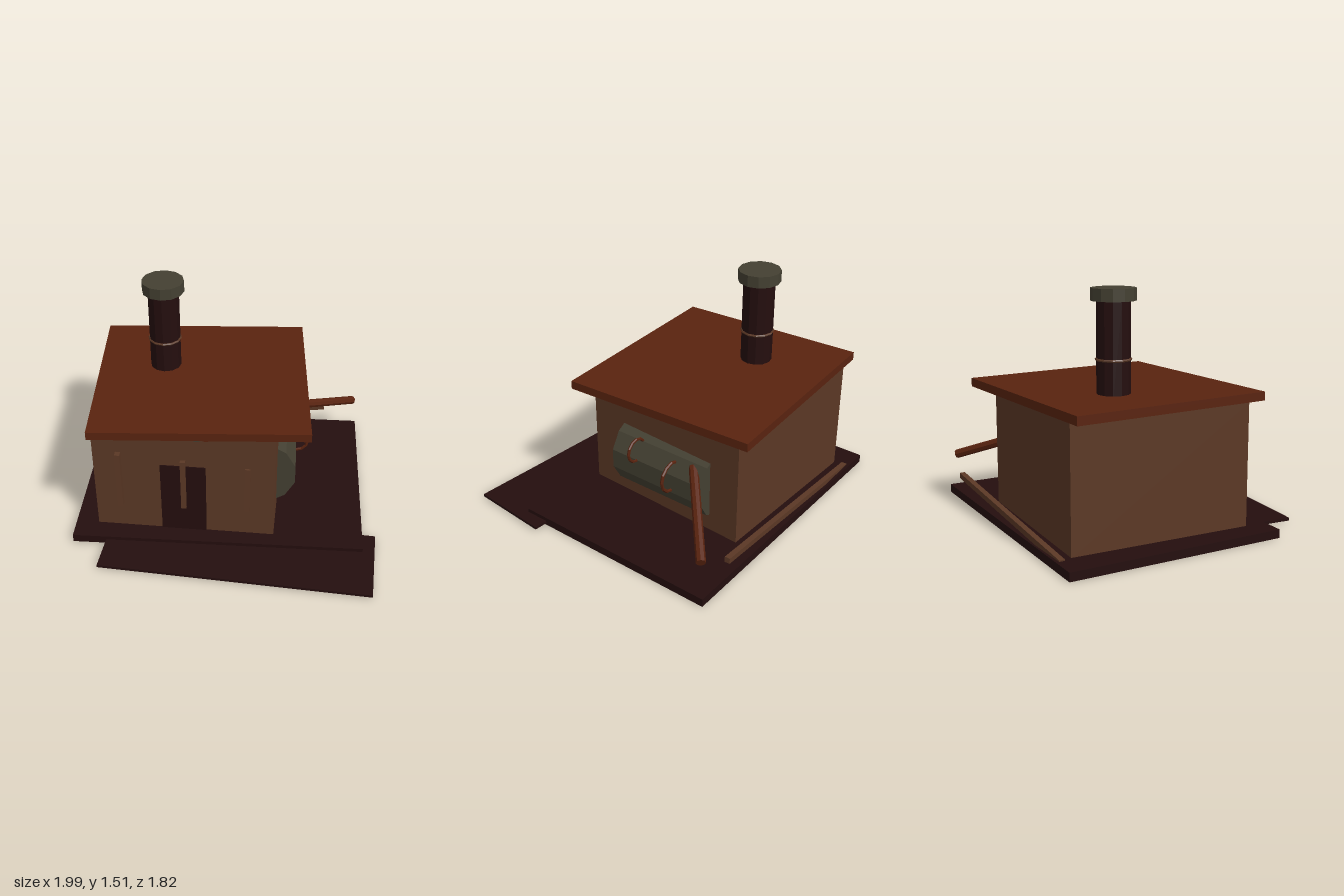
import * as THREE from 'three';

export function createModel() {
  const root = new THREE.Group();
  root.name = 'workshop';

  const material = (name, color) => {
    const m = new THREE.MeshStandardMaterial({ color, flatShading: true });
    m.name = name;
    return m;
  };
  const dark = material('dark iron', 0x240e0e);
  const brown = material('brown timber', 0x5b3825);
  const rust = material('rust', 0x59230f);
  const grey = material('grey metal', 0x444032);

  const add = (name, geometry, mat, x, y, z, parent = root) => {
    const mesh = new THREE.Mesh(geometry, mat);
    mesh.name = name;
    mesh.position.set(x, y, z);
    parent.add(mesh);
    return mesh;
  };
  const box = (w, h, d) => new THREE.BoxGeometry(w, h, d);

  // Turns a mesh so that its given local axis runs from a to b
  const span = (mesh, axis, a, b) => {
    mesh.position.copy(a).add(b).multiplyScalar(0.5);
    mesh.quaternion.setFromUnitVectors(axis, b.clone().sub(a).normalize());
  };

  // Ground slabs
  add('base', box(1.905, 0.055, 1.42), dark, -0.0475, 0.0275, -0.185);
  add('frontSlab', box(1.756, 0.018, 0.537), dark, 0.098, 0.021, 0.568).rotation.y = -0.08;

  // Walls with door, turned slightly
  const house = new THREE.Group();
  house.name = 'house';
  house.position.set(-0.245, 0, -0.183);
  house.rotation.y = -0.034;
  root.add(house);
  add('walls', box(1.17, 0.78, 1.176), brown, 0, 0.44, 0, house);
  add('door', box(0.295, 0.525, 0.012), dark, -0.005, 0.3175, 0.588, house);

  // Scraps half hidden under the eaves
  for (const [x, r, mat] of [[-0.45, 0.035, rust], [-0.37, 0.02, grey], [-0.12, 0.04, rust], [-0.18, 0.045, grey]]) {
    const scrap = add('eaveScrap', new THREE.CylinderGeometry(r, r, 0.008, 10), mat, x + 0.265, 0.827, 0.588, house);
    scrap.rotation.x = Math.PI / 2;
  }

  // Upright battens on the front
  for (const [x, h] of [[-0.683, 0.415], [-0.268, 0.38], [0.145, 0.345]]) {
    add('frontBatten', box(0.034, h, 0.05), brown, x, 0.247 + h / 2, 0.405);
  }

  // Roof, turned the other way
  add('roof', box(1.388, 0.055, 1.302), rust, -0.193, 0.8575, -0.188).rotation.y = 0.054;

  // Chimney
  const cx = -0.453, cz = -0.323;
  add('chimney', new THREE.CylinderGeometry(0.103, 0.103, 0.58, 12), dark, cx, 1.15, cz);
  add('chimneyCap', new THREE.CylinderGeometry(0.138, 0.138, 0.075, 12), grey, cx, 1.4775, cz);
  add('chimneyBand', new THREE.TorusGeometry(0.103, 0.009, 6, 12), brown, cx, 1.093, cz).rotation.x = Math.PI / 2;

  // Boiler set into the left wall, a flat facet facing outward
  const boilerGeometry = new THREE.CylinderGeometry(0.25, 0.25, 0.71, 12);
  boilerGeometry.rotateY(Math.PI / 12);
  boilerGeometry.rotateX(Math.PI / 2);
  add('boiler', boilerGeometry, grey, 0.208, 0.36, -0.185);

  // Rings on the boiler
  add('boilerRing', new THREE.TorusGeometry(0.078, 0.01, 6, 12), rust, 0.447, 0.498, -0.03);
  add('boilerRing', new THREE.TorusGeometry(0.1, 0.011, 6, 12), rust, 0.44, 0.41, -0.308);

  // Leaning pipe
  const start = new THREE.Vector3(0.38, 0.5, -0.433);
  const end = new THREE.Vector3(0.867, 0.28, -0.853);
  const pipe = add('pipe', new THREE.CylinderGeometry(0.03, 0.03, start.distanceTo(end), 8), rust, 0, 0, 0);
  span(pipe, new THREE.Vector3(0, 1, 0), start, end);

  // Fallen beam behind the house
  const left = new THREE.Vector3(-0.83, 0.045, -0.857);
  const right = new THREE.Vector3(0.66, 0.183, -0.893);
  const beam = add('fallenBeam', box(left.distanceTo(right), 0.036, 0.036), brown, 0, 0, 0);
  span(beam, new THREE.Vector3(1, 0, 0), left, right);

  return root;
}
